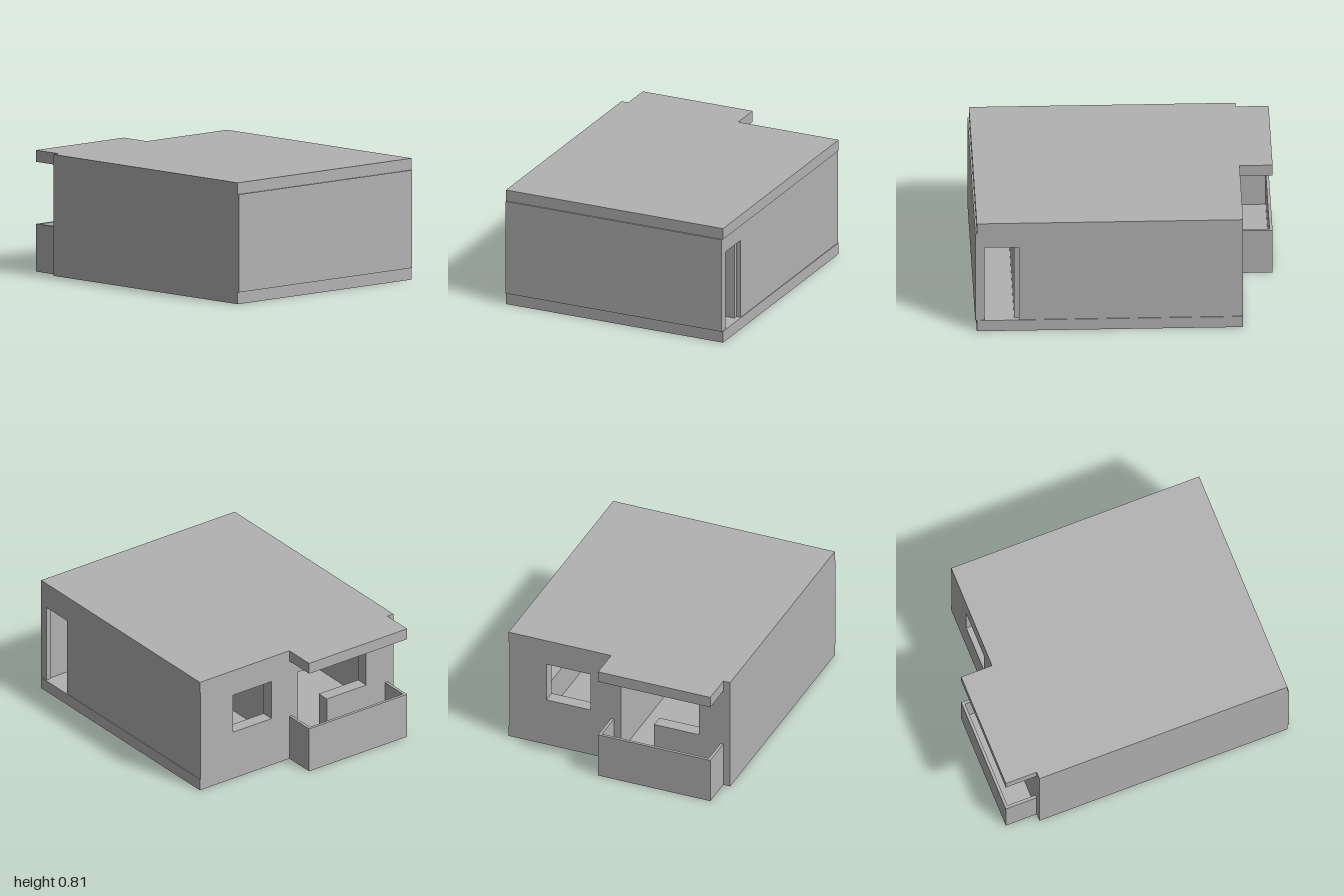
import * as THREE from 'three';

export function createModel() {
  const group = new THREE.Group();
  group.name = 'apartment';
  const concrete = new THREE.MeshStandardMaterial({ color: 0xb2b2b2 });
  concrete.name = 'concrete';

  const add = (name, geometry) => {
    const mesh = new THREE.Mesh(geometry, concrete);
    mesh.name = name;
    group.add(mesh);
    return mesh;
  };
  // box given by its lower and upper bounds
  const box = (name, x0, x1, y0, y1, z0, z1) => {
    const mesh = add(name, new THREE.BoxGeometry(x1 - x0, y1 - y0, z1 - z0));
    mesh.position.set((x0 + x1) / 2, (y0 + y1) / 2, (z0 + z1) / 2);
    return mesh;
  };
  const vectors = (points) => points.map(([x, y]) => new THREE.Vector2(x, y));
  const rect = (x0, x1, y0, y1) => [[x0, y0], [x1, y0], [x1, y1], [x0, y1]];
  const wall = (name, outline, holes, depth) => {
    const shape = new THREE.Shape(vectors(outline));
    for (const h of holes) shape.holes.push(new THREE.Path(vectors(h)));
    return add(name, new THREE.ExtrudeGeometry(shape, { depth, bevelEnabled: false }));
  };

  const floorTop = 0.08, ceiling = 0.737, top = 0.815;
  const back = -0.78, t = 0.09, head = 0.63, sill = 0.35;

  // floor and roof slabs
  box('floorSlab', -0.8, 0.8, 0, floorTop, back, 0.99);
  box('roofSlab', -0.8, 0.8, ceiling, top, back, 0.99);

  // front and left-hand blank walls
  box('frontWall', -0.8, 0.795, floorTop, ceiling, 0.95, 1);
  box('blankSideWall', -0.8, -0.75, floorTop, ceiling, back, 0.95);

  // back wall: doorway joined to a window on the balcony, plus a separate window;
  // the outline runs around the doorway so it reaches the floor
  const backOutline = [
    [-0.8, floorTop], [-0.25, floorTop], [-0.25, sill], [-0.575, sill],
    [-0.575, head], [-0.01, head], [-0.01, floorTop], [0.795, floorTop],
    [0.795, ceiling], [-0.8, ceiling],
  ];
  wall('backWall', backOutline, [rect(0.207, 0.527, sill, head)], t).position.z = back;

  // entrance side wall, its outline notched by the doorway (drawn in -z, y)
  const sideOutline = [
    [-0.95, floorTop], [-0.94, floorTop], [-0.94, head], [-0.71, head],
    [-0.71, floorTop], [-back - t, floorTop], [-back - t, ceiling], [-0.95, ceiling],
  ];
  const side = wall('entranceWall', sideOutline, [], 0.035);
  side.rotation.y = Math.PI / 2;
  side.position.x = 0.76;

  // inner walls and the kitchen counter
  box('hallWall', -0.2, 0.765, floorTop, ceiling, 0.675, 0.74);
  box('roomDivider', -0.01, 0.05, floorTop, ceiling, back + t, 0.35);
  box('counter', 0.62, 0.76, floorTop, 0.3, -0.48, 0.05);

  // balcony: floor, parapet on three sides and canopy
  const bx0 = -0.75, bx1 = 0.06, bz = -1, p = 0.02, rail = 0.32;
  box('balconyFloor', bx0, bx1, 0, floorTop, bz, back);
  box('balconyParapet', bx0, bx1, 0, rail, bz, bz + p);
  for (const x of [bx0, bx1 - p]) box('balconySide', x, x + p, 0, rail, bz + p, back);
  box('balconyCanopy', bx0, bx1, ceiling, top, bz, back);

  return group;
}
